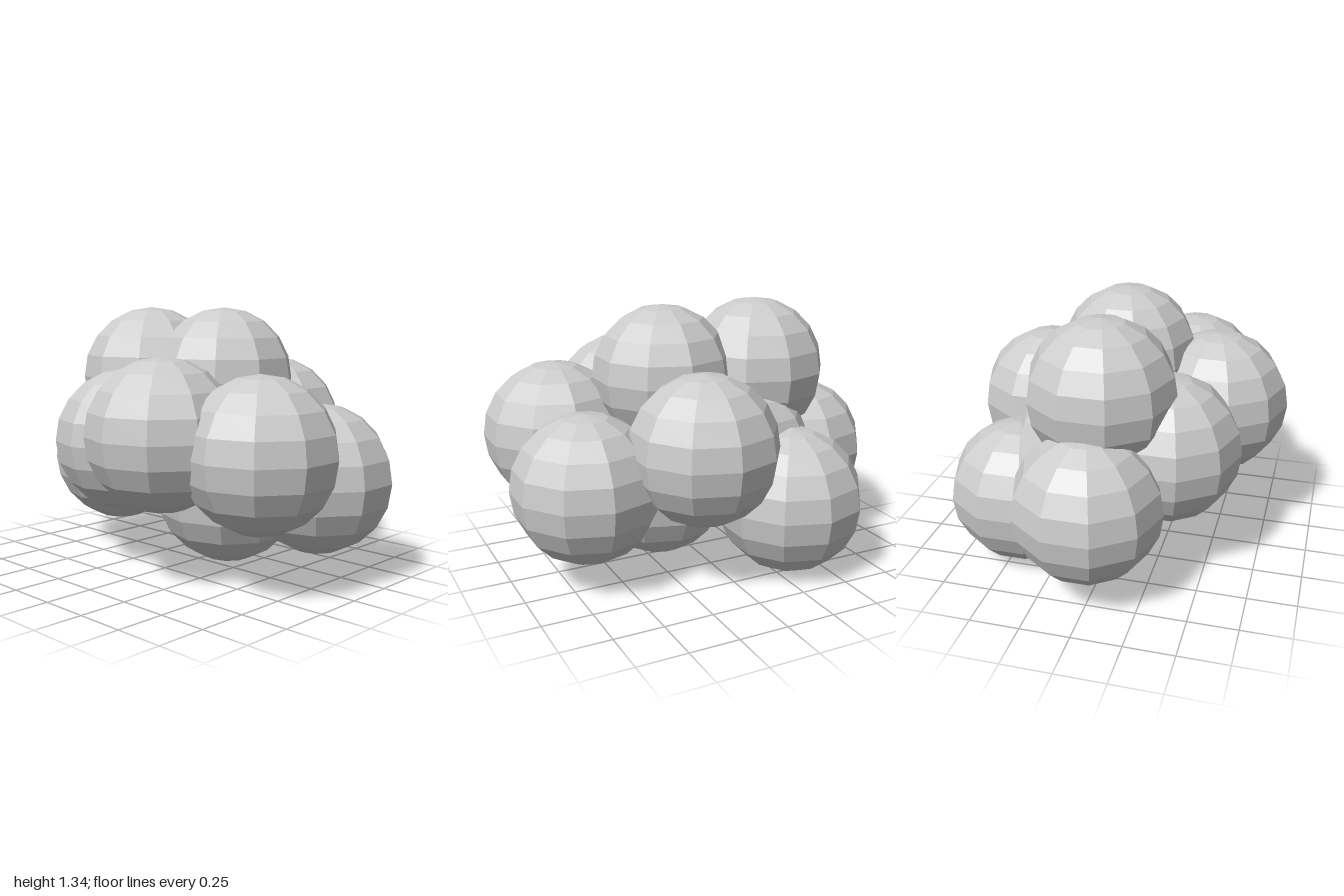
import * as THREE from 'three';

export function createModel() {
  const group = new THREE.Group();
  group.name = 'ballCluster';
  const material = new THREE.MeshStandardMaterial({ color: 0xcccccc, flatShading: true });

  // One low-poly ball shared by the whole cluster
  const radius = 0.373;
  const ball = new THREE.SphereGeometry(radius, 10, 10);

  // Name, centre (x, y, z) and optional scale of each ball
  const balls = [
    ['frontRightBall', -0.26, 0.67, 0.645],
    ['frontLeftBall', 0.18, 0.503, 0.645],
    ['topFrontBall', 0.015, 0.982, 0.162, 0.96],
    ['topBackBall', 0.015, 0.968, -0.373],
    ['middleRightBall', -0.455, 0.74, 0.2],
    ['middleLeftBall', 0.44, 0.7, 0.14],
    ['bottomBall', 0.015, 0.41, 0.2],
    ['lowerLeftBackBall', 0.45, 0.373, -0.345],
    ['backBall', 0.015, 0.5, -0.645],
    ['backRightBall', -0.285, 0.655, -0.245],
    ['innerBackBall', 0.16, 0.56, -0.22],
  ];
  for (const [name, x, y, z, scale = 1] of balls) {
    const mesh = new THREE.Mesh(ball, material);
    mesh.name = name;
    mesh.position.set(x, y, z);
    mesh.scale.setScalar(scale);
    group.add(mesh);
  }
  return group;
}
